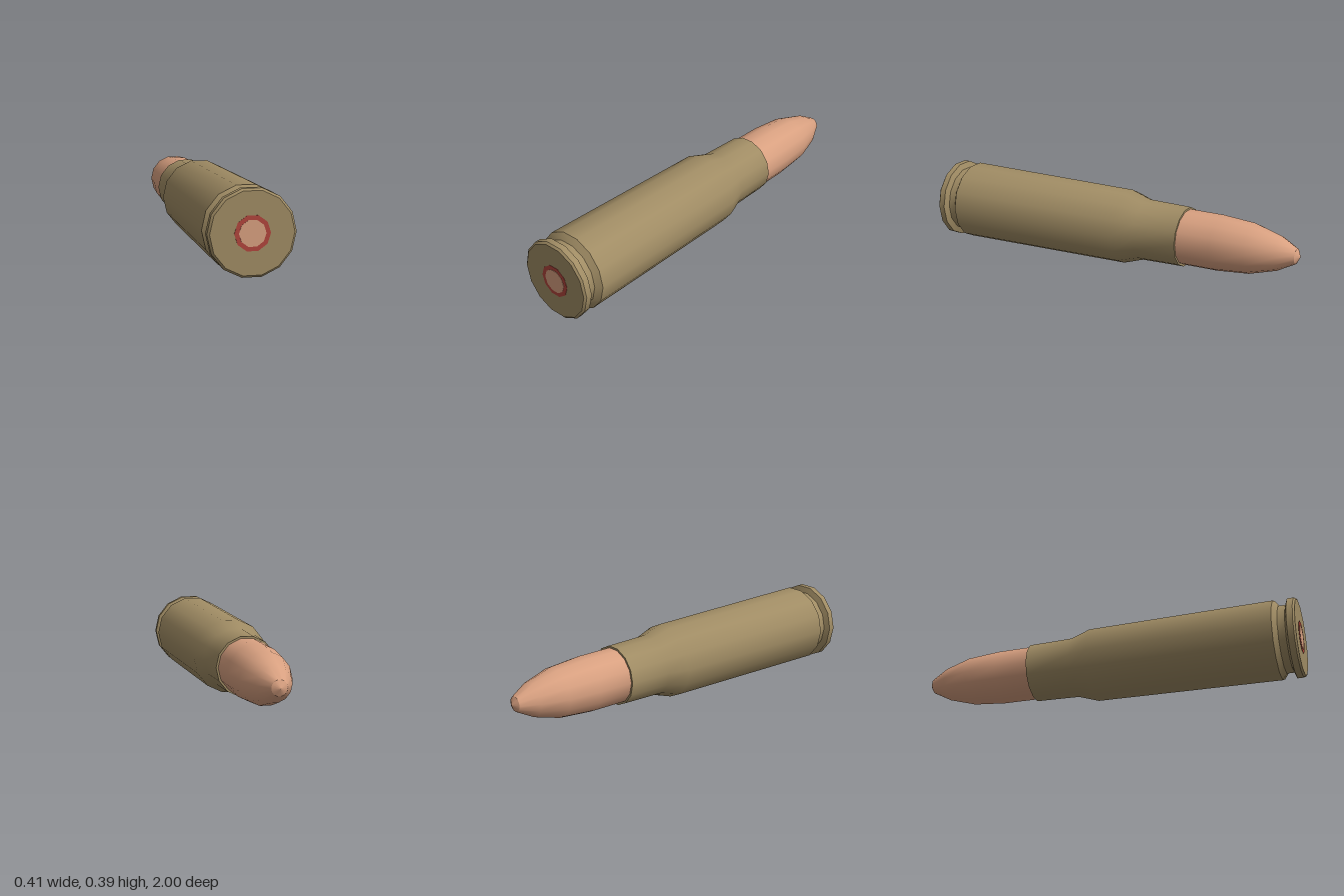
import * as THREE from 'three';
import { toCreasedNormals } from 'three/addons/utils/BufferGeometryUtils.js';

const AXIS_HEIGHT = 0.198;

// Turned part lying along z; profile is [radius, z] from back to front.
function turned(name, color, sides, profile) {
  const points = profile.map(([r, z]) => new THREE.Vector2(r, z));
  const lathe = new THREE.LatheGeometry(points, sides, Math.PI / 2);
  lathe.rotateX(Math.PI / 2);
  const mesh = new THREE.Mesh(
    toCreasedNormals(lathe, THREE.MathUtils.degToRad(32)),
    new THREE.MeshStandardMaterial({ color })
  );
  mesh.name = name;
  mesh.position.y = AXIS_HEIGHT;
  return mesh;
}

export function createModel() {
  const model = new THREE.Group();
  model.name = 'cartridge';

  // Pointed bullet, seated inside the case mouth
  model.add(turned('bullet', 0xd8a080, 14, [
    [0, -1], [0.038, -0.98], [0.086, -0.89], [0.126, -0.75],
    [0.14, -0.58], [0.141, -0.38],
  ]));

  // Bottle-necked case: mouth, neck, shoulder, body, groove, rim, base
  model.add(turned('case', 0xa08c64, 14, [
    [0.138, -0.4], [0.151, -0.4], [0.156, -0.17], [0.19, -0.065],
    [0.2025, 0.885], [0.172, 0.908], [0.172, 0.945],
    [0.2025, 0.957], [0.2025, 0.988], [0.192, 0.997], [0, 0.997],
  ]));

  // Sealant ring and primer in the base
  model.add(turned('primerSeal', 0xb0443c, 10, [
    [0.083, 0.99], [0.083, 0.9985], [0.055, 0.9985],
  ]));
  model.add(turned('primer', 0xd8a080, 10, [
    [0.062, 0.99], [0.062, 1], [0, 1],
  ]));

  return model;
}
